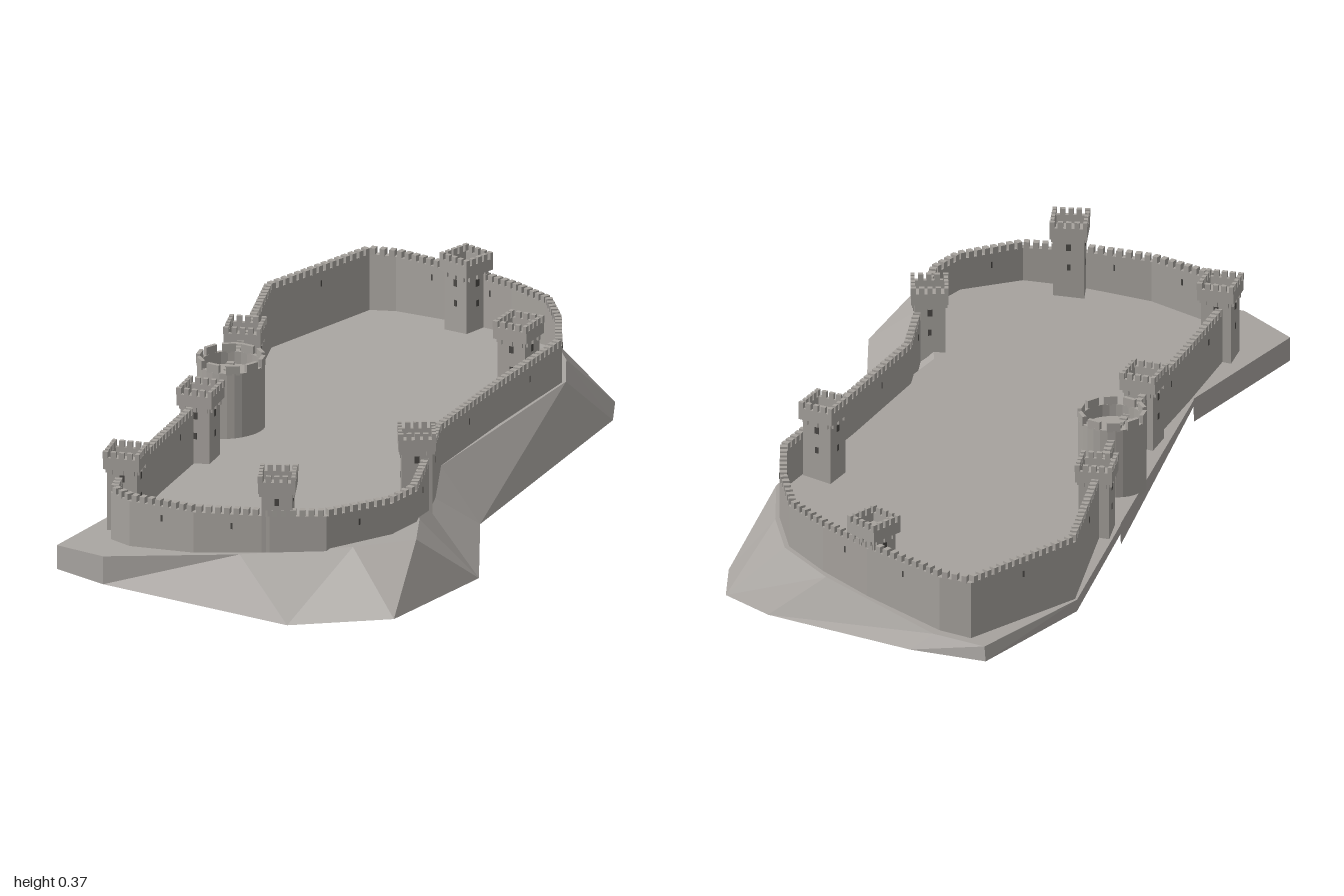
import * as THREE from 'three';
import { mergeGeometries } from 'three/addons/utils/BufferGeometryUtils.js';

const groundY = (x) => 0.145 + 0.1 * x;
const wallTopY = (x) => 0.256 + 0.035 * x;

// plateau rim (x, z) and the foot of the slope below it (x, y, z)
const TERRAIN = [
  [-0.12, 1.0, -0.12, 0.06, 1.0], [0.2, 0.88, 0.37, 0.03, 0.93],
  [0.44, 0.74, 0.61, 0.06, 0.82], [0.56, 0.64, 0.61, 0.06, 0.82],
  [0.56, 0.64, 0.64, 0.065, 0.48], [0.48, 0.5, 0.64, 0.065, 0.48],
  [0.31, 0.27, 0.42, 0.05, 0.13], [0.3, 0.12, 0.42, 0.05, 0.13],
  [0.235, -0.55, 0.25, 0.01, -0.74], [0.14, -0.7, 0.18, 0.005, -0.86],
  [0.04, -0.81, 0.18, 0.005, -0.86], [-0.12, -0.87, 0.03, 0.005, -0.9],
  [-0.48, -0.94, -0.45, 0.07, -1.0], [-0.61, -0.91, -0.62, 0.05, -0.92],
  [-0.645, -0.55, -0.645, 0.05, -0.55], [-0.51, -0.15, -0.51, 0.07, -0.15],
  [-0.505, -0.14, -0.505, 0.037, -0.14], [-0.285, 0.52, -0.285, 0.1, 0.52],
  [-0.28, 0.53, -0.28, 0.055, 0.53], [-0.28, 0.96, -0.28, 0.055, 0.96],
];

// curtain wall centre line (x, z)
const WALL = [
  [-0.1, 0.9], [0.08, 0.895], [0.26, 0.835], [0.38, 0.77], [0.47, 0.62], [0.475, 0.52], [0.4, 0.35],
  [0.29, 0.12], [0.25, -0.2], [0.22, -0.54], [0.13, -0.68], [0.03, -0.79], [-0.1, -0.84],
  [-0.25, -0.875], [-0.48, -0.905], [-0.555, -0.89], [-0.63, -0.55], [-0.48, -0.2],
  [-0.38, 0.03], [-0.32, 0.27], [-0.27, 0.51], [-0.21, 0.77], [-0.17, 0.87],
];

// square towers: x, z, top height, turn about y
const TOWERS = [
  [-0.24, -0.84, 0.318, -0.2], [0.18, -0.42, 0.365, 0.08], [0.36, 0.325, 0.353, 0.6],
  [0.26, 0.8, 0.372, 0.5], [-0.2, 0.77, 0.33, 0.3], [-0.31, 0.26, 0.31, 0.22], [-0.48, -0.21, 0.288, 0.4],
];

function fromTriangles(tris) {
  const g = new THREE.BufferGeometry();
  g.setAttribute('position', new THREE.Float32BufferAttribute(tris.flat(), 3));
  g.computeVertexNormals();
  return g;
}

const quad = (a, b, c, d) => [a, b, c, a, c, d];

function boxAt(w, h, d, x, y, z, turn = 0) {
  return new THREE.BoxGeometry(w, h, d).rotateY(turn).translate(x, y, z);
}

export function createModel() {
  const model = new THREE.Group();
  const rock = new THREE.MeshStandardMaterial({ color: 0xa8a4a0, flatShading: true, side: THREE.DoubleSide });
  rock.name = 'rock';
  const stone = new THREE.MeshStandardMaterial({ color: 0xa6a29d, flatShading: true });
  stone.name = 'stone';
  const dark = new THREE.MeshStandardMaterial({ color: 0x4a4845 });
  dark.name = 'dark opening';
  const add = (geometry, material, name, parent = model) => {
    const mesh = new THREE.Mesh(geometry, material);
    mesh.name = name;
    parent.add(mesh);
    return mesh;
  };

  // gently tilted plateau
  const rim = TERRAIN.filter(([x, z], i) => !i || x !== TERRAIN[i - 1][0] || z !== TERRAIN[i - 1][1]);
  const shape = new THREE.Shape(rim.map(([x, z]) => new THREE.Vector2(x, -z)));
  const plateau = new THREE.ShapeGeometry(shape).rotateX(-Math.PI / 2);
  const pos = plateau.attributes.position;
  for (let i = 0; i < pos.count; i++) pos.setY(i, groundY(pos.getX(i)));
  plateau.computeVertexNormals();
  add(plateau, rock, 'plateau');

  // faceted slopes and cliff edge, open underneath
  const slopes = [];
  TERRAIN.forEach((a, i) => {
    const b = TERRAIN[(i + 1) % TERRAIN.length];
    const top = (p) => [p[0], groundY(p[0]), p[1]];
    slopes.push(...quad(a.slice(2), b.slice(2), top(b), top(a)));
  });
  add(fromTriangles(slopes), rock, 'slopes');

  // curtain wall swept from mitred cross-sections
  const half = 0.009;
  const sections = WALL.map(([x, z], i) => {
    const n = WALL.length;
    const p = WALL[(i + n - 1) % n], q = WALL[(i + 1) % n];
    const dir = new THREE.Vector2(x - p[0], z - p[1]).normalize()
      .add(new THREE.Vector2(q[0] - x, q[1] - z).normalize()).normalize();
    const ox = -dir.y * half, oz = dir.x * half;
    const low = groundY(x) - (x > 0.28 && z < 0.45 ? 0.045 : 0.015), high = wallTopY(x);
    return [[x + ox, low, z + oz], [x + ox, high, z + oz], [x - ox, high, z - oz], [x - ox, low, z - oz]];
  });
  const wall = [];
  sections.forEach((a, i) => {
    const b = sections[(i + 1) % sections.length];
    for (let k = 0; k < 4; k++) wall.push(...quad(a[k], b[k], b[(k + 1) % 4], a[(k + 1) % 4]));
  });
  add(fromTriangles(wall), stone, 'curtainWall');

  // battlements and arrow slits along the wall
  const merlons = [], slits = [];
  WALL.forEach(([x, z], i) => {
    const [x2, z2] = WALL[(i + 1) % WALL.length];
    const length = Math.hypot(x2 - x, z2 - z), turn = -Math.atan2(z2 - z, x2 - x);
    const count = Math.max(2, Math.round(length / 0.023));
    for (let k = 0; k < count; k++) {
      const t = (k + 0.5) / count, mx = x + (x2 - x) * t, mz = z + (z2 - z) * t;
      merlons.push(boxAt(0.014, 0.018, 0.018, mx, wallTopY(mx) + 0.007, mz, turn));
    }
    if (length > 0.15) {
      const mx = (x + x2) / 2, mz = (z + z2) / 2;
      slits.push(boxAt(0.004, 0.016, 0.021, mx, wallTopY(mx) - 0.03, mz, turn));
    }
  });
  add(mergeGeometries(merlons), stone, 'wallBattlements');
  add(mergeGeometries(slits), dark, 'wallSlits');

  // square towers with an overhanging crenellated head
  for (const [x, z, top, turn] of TOWERS) {
    const tower = new THREE.Group();
    tower.name = 'squareTower';
    tower.position.set(x, 0, z);
    tower.rotation.y = turn;
    model.add(tower);
    const base = groundY(x) - 0.045, deck = top - 0.038;
    add(boxAt(0.076, deck - base, 0.076, 0, (deck + base) / 2, 0), stone, 'towerShaft', tower);
    const head = [], openings = [];
    for (let s = 0; s < 4; s++) {
      const a = s * Math.PI / 2;
      head.push(boxAt(0.092, 0.03, 0.01, 0, deck + 0.007, 0.041).rotateY(a));
      for (let k = -2; k < 2; k++) head.push(boxAt(0.013, 0.018, 0.01, k * 0.0205 + 0.0005, top - 0.009, 0.041).rotateY(a));
      // corbels under the head
      for (let k = -1; k <= 1; k++) head.push(boxAt(0.009, 0.014, 0.007, k * 0.028, deck - 0.014, 0.04).rotateY(a));
      openings.push(boxAt(0.012, 0.018, 0.002, 0, deck - 0.032, 0.038).rotateY(a));
      openings.push(boxAt(0.009, 0.016, 0.002, 0, deck - 0.085, 0.038).rotateY(a));
    }
    add(mergeGeometries(head), stone, 'towerHead', tower);
    add(mergeGeometries(openings), dark, 'towerWindows', tower);
  }

  // round keep with a recessed roof
  const keep = new THREE.Group();
  keep.name = 'roundTower';
  keep.position.set(-0.368, 0, 0.03);
  model.add(keep);
  const profile = [[0.084, 0.09], [0.084, 0.282], [0.074, 0.282], [0.074, 0.25], [0, 0.25]];
  add(new THREE.LatheGeometry(profile.map((p) => new THREE.Vector2(...p)), 28), stone, 'keepBody', keep);
  const teeth = [];
  for (let k = 0; k < 10; k++) {
    teeth.push(boxAt(0.034, 0.024, 0.01, 0, 0.29, 0.0785).rotateY(k * Math.PI / 5));
  }
  add(mergeGeometries(teeth), stone, 'keepBattlements', keep);

  return model;
}
